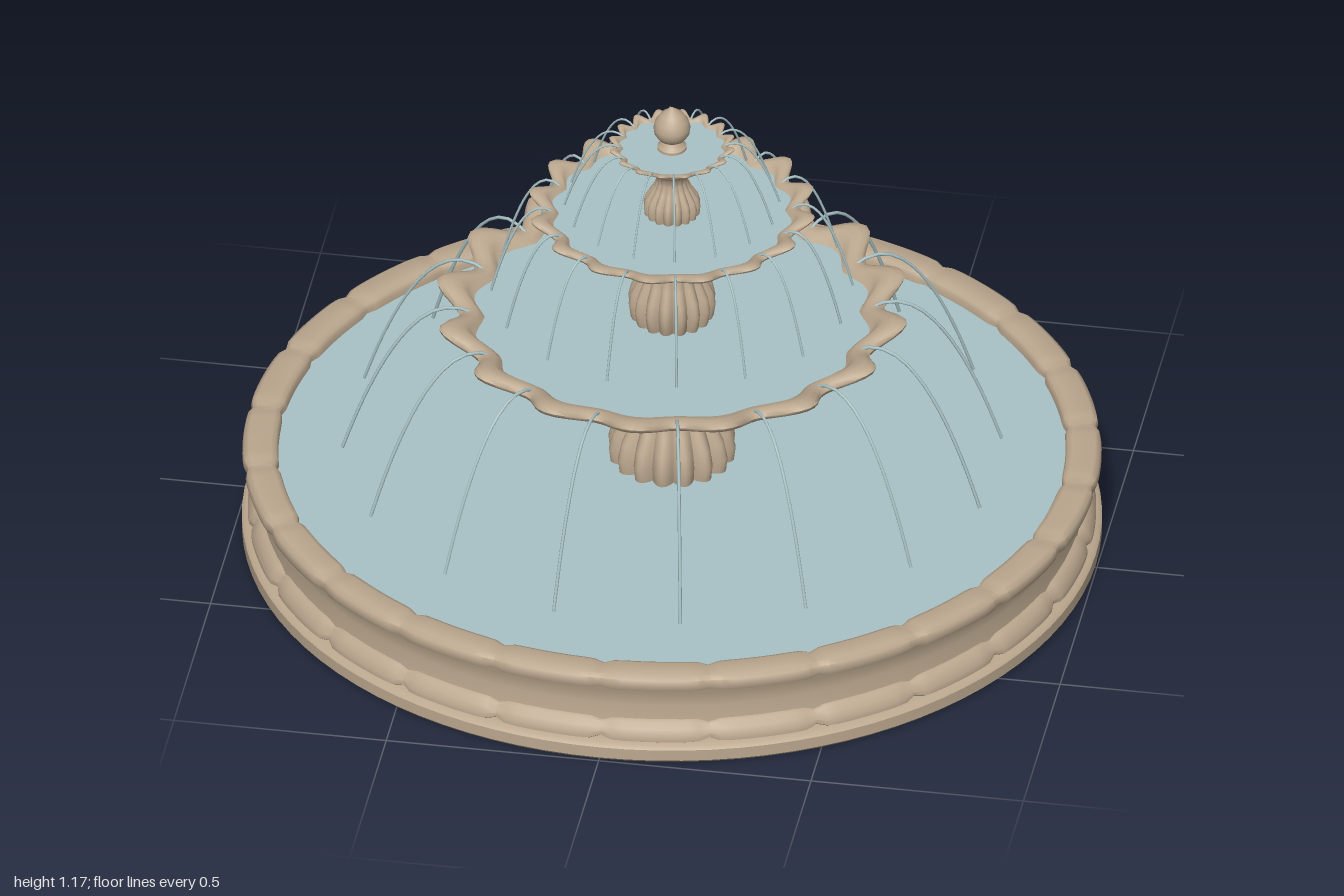
import * as THREE from 'three';
import { toCreasedNormals } from 'three/addons/utils/BufferGeometryUtils.js';

const PETALS = 16;
const STONES = 24;

export function createModel() {
  const model = new THREE.Group();
  model.name = 'tieredFountain';

  const stone = new THREE.MeshStandardMaterial({ color: 0xbca88f });
  stone.name = 'sandstone';
  const water = new THREE.MeshStandardMaterial({ color: 0xa9c3c6 });
  water.name = 'water';

  function add(name, geometry, material, parent = model) {
    const mesh = new THREE.Mesh(geometry, material);
    mesh.name = name;
    parent.add(mesh);
    return mesh;
  }

  // Revolves a profile; deform(r, y, angle) may return a changed [r, y].
  function revolve(profile, segments, deform, crease = 0.75) {
    const geo = new THREE.LatheGeometry(profile.map(([x, y]) => new THREE.Vector2(x, y)), segments);
    const pos = geo.attributes.position;
    const rows = profile.length;
    if (deform) {
      for (let i = 0; i < pos.count; i++) {
        const angle = (Math.floor(i / rows) % segments) / segments * Math.PI * 2;
        const [px, py] = profile[i % rows];
        const [r, y] = deform(px, py, angle);
        pos.setXYZ(i, r * Math.sin(angle), y, r * Math.cos(angle));
      }
    }
    // enlarged while creasing so that nearby points stay distinct
    geo.scale(100, 100, 100);
    return toCreasedNormals(geo, crease).scale(0.01, 0.01, 0.01);
  }

  // Ring of stones: the cross-section shrinks at every joint.
  function stoneRing(name, profile, centre, depth) {
    const shrink = (r, y, a) => {
      const t = (a / (Math.PI * 2) * STONES) % 1;
      const k = 1 - depth * Math.pow(Math.abs(2 * t - 1), 9);
      return [centre[0] + (r - centre[0]) * k, centre[1] + (y - centre[1]) * k];
    };
    add(name, revolve(profile, STONES * 10, shrink), stone);
  }

  // Basin with a hollow underside
  add('basinBody', revolve([
    [0, 0.03], [0.93, 0.03], [0.935, 0.004], [0.945, 0], [0.99, 0], [0.998, 0.008], [0.998, 0.036],
    [0.99, 0.044], [0.96, 0.046], [0.955, 0.09], [0.95, 0.13], [0.952, 0.165], [0.965, 0.192],
    [0.965, 0.21], [0.925, 0.21], [0.925, 0.12], [0, 0.12],
  ], 96), stone);
  stoneRing('plinthStones', [
    [0.93, 0.044], [0.975, 0.044], [0.984, 0.05], [0.984, 0.064], [0.974, 0.078],
    [0.964, 0.092], [0.945, 0.097], [0.93, 0.097],
  ], [0.95, 0.07], 0.3);
  stoneRing('rimStones', [
    [0.925, 0.19], [0.978, 0.19], [0.992, 0.196], [0.997, 0.21], [0.994, 0.226], [0.982, 0.235],
    [0.93, 0.235], [0.918, 0.23], [0.913, 0.22], [0.913, 0.195], [0.925, 0.19],
  ], [0.955, 0.205], 0.2);
  add('basinWater', revolve([[0.925, 0.205], [0, 0.205]], 96), water);

  // Underside ribs and hub
  const ribs = new THREE.Group();
  ribs.name = 'undersideRibs';
  model.add(ribs);
  for (let i = 0; i < 8; i++) {
    const a = i * Math.PI / 4;
    const rib = add('rib', new THREE.BoxGeometry(0.82, 0.03, 0.032), stone, ribs);
    rib.position.set(0.535 * Math.cos(a), 0.021, 0.535 * Math.sin(a));
    rib.rotation.y = -a;
  }
  add('undersideHub', revolve([[0.065, 0.035], [0.065, 0.01], [0.075, 0.004], [0.135, 0.004],
    [0.145, 0.012], [0.145, 0.035]], 48), stone);

  // Fluted pedestals: profile of [radius, height, flute depth]
  function pedestal(name, profile) {
    const depth = new Map(profile.map(([r, y, d]) => [y, d]));
    const flute = (r, y, a) => [r - depth.get(y) * (1 - Math.abs(Math.cos(a * PETALS / 2))), y];
    add(name, revolve(profile, PETALS * 8, flute), stone);
  }
  pedestal('lowerPedestal', [
    [0.125, 0.12, 0.02], [0.145, 0.2, 0.022], [0.15, 0.24, 0.022], [0.14, 0.28, 0.02], [0.118, 0.32, 0.013],
    [0.102, 0.355, 0.007], [0.098, 0.385, 0.004], [0.105, 0.41, 0.002], [0.122, 0.428, 0], [0.132, 0.434, 0],
    [0.133, 0.446, 0], [0.122, 0.452, 0], [0.122, 0.46, 0], [0.135, 0.466, 0], [0.135, 0.485, 0],
  ]);
  pedestal('middlePedestal', [
    [0.08, 0.56, 0.01], [0.098, 0.6, 0.014], [0.103, 0.635, 0.015], [0.097, 0.665, 0.013], [0.08, 0.7, 0.008],
    [0.069, 0.73, 0.004], [0.07, 0.755, 0.002], [0.082, 0.773, 0], [0.095, 0.78, 0],
    [0.096, 0.79, 0], [0.088, 0.795, 0], [0.097, 0.802, 0], [0.097, 0.82, 0],
  ]);
  pedestal('upperPedestal', [
    [0.055, 0.85, 0.006], [0.065, 0.88, 0.009], [0.067, 0.9, 0.009], [0.062, 0.92, 0.008], [0.046, 0.945, 0.004],
    [0.037, 0.965, 0.002], [0.039, 0.985, 0.001], [0.052, 0.998, 0], [0.056, 1.004, 0],
    [0.056, 1.012, 0], [0.05, 1.016, 0], [0.05, 1.03, 0],
  ]);

  // Scalloped bowl, its water and the jets that fall from its valleys
  function tier(name, { R, foot, y0, y1, wave, lift, jet }) {
    const h = y1 - y0;
    const lip = 0.115 * R;
    const out = (f) => foot + (R - foot) * f;
    const scallop = (rise) => (r, y, a) => {
      const w = Math.min(1, r / R) ** 2 * Math.cos(a * PETALS);
      return [r * (1 + wave / R * w), y + rise * w];
    };
    add(name + 'Bowl', revolve([
      [0, y0], [foot, y0], [out(0.18), y0 + 0.06 * h], [out(0.38), y0 + 0.2 * h], [out(0.6), y0 + 0.4 * h],
      [out(0.8), y0 + 0.62 * h], [out(0.93), y0 + 0.78 * h], [R, y0 + 0.88 * h], [R + 0.05 * lip, y0 + 0.94 * h],
      [R - 0.1 * lip, y0 + 0.99 * h], [R - 0.4 * lip, y1], [R - 0.75 * lip, y0 + 0.97 * h],
      [R - lip, y0 + 0.89 * h], [R - 1.3 * lip, y0 + 0.68 * h], [0.5 * R, y0 + 0.5 * h], [0, y0 + 0.45 * h],
    ], PETALS * 10, scallop(lift), 1), stone);
    add(name + 'Water', revolve([[R - 1.1 * lip, y0 + 0.79 * h], [0.6 * R, y0 + 0.79 * h],
      [0, y0 + 0.79 * h]], PETALS * 6, scallop(0)), water);

    const jets = new THREE.Group();
    jets.name = name + 'Jets';
    model.add(jets);
    const rStart = R - lip;
    const yStart = y0 + 0.86 * h;
    const rise = 0.55 * (yStart - jet.y);
    const points = [];
    for (let i = 0; i <= 8; i++) {
      const t = i / 8;
      points.push(new THREE.Vector3(0, yStart + rise * t - (yStart + rise - jet.y) * t * t,
        rStart + (jet.r - rStart) * t));
    }
    const geo = new THREE.TubeGeometry(new THREE.CatmullRomCurve3(points), 16, jet.size, 6);
    for (let i = 0; i < PETALS; i++) {
      add('jet', geo, water, jets).rotation.y = (i + 0.5) / PETALS * Math.PI * 2;
    }
  }
  tier('lower', { R: 0.52, foot: 0.13, y0: 0.475, y1: 0.622, wave: 0.03, lift: 0.014,
    jet: { r: 0.765, y: 0.235, size: 0.004 } });
  tier('middle', { R: 0.315, foot: 0.095, y0: 0.81, y1: 0.893, wave: 0.019, lift: 0.009,
    jet: { r: 0.42, y: 0.665, size: 0.0032 } });
  tier('upper', { R: 0.137, foot: 0.05, y0: 1.018, y1: 1.063, wave: 0.01, lift: 0.005,
    jet: { r: 0.25, y: 0.9, size: 0.0026 } });

  // Bud finial
  add('finial', revolve([
    [0.034, 1.03], [0.034, 1.06], [0.026, 1.068], [0.022, 1.076], [0.032, 1.083], [0.041, 1.097],
    [0.043, 1.112], [0.038, 1.13], [0.026, 1.147], [0.012, 1.158], [0, 1.167],
  ], 32), stone);

  return model;
}
